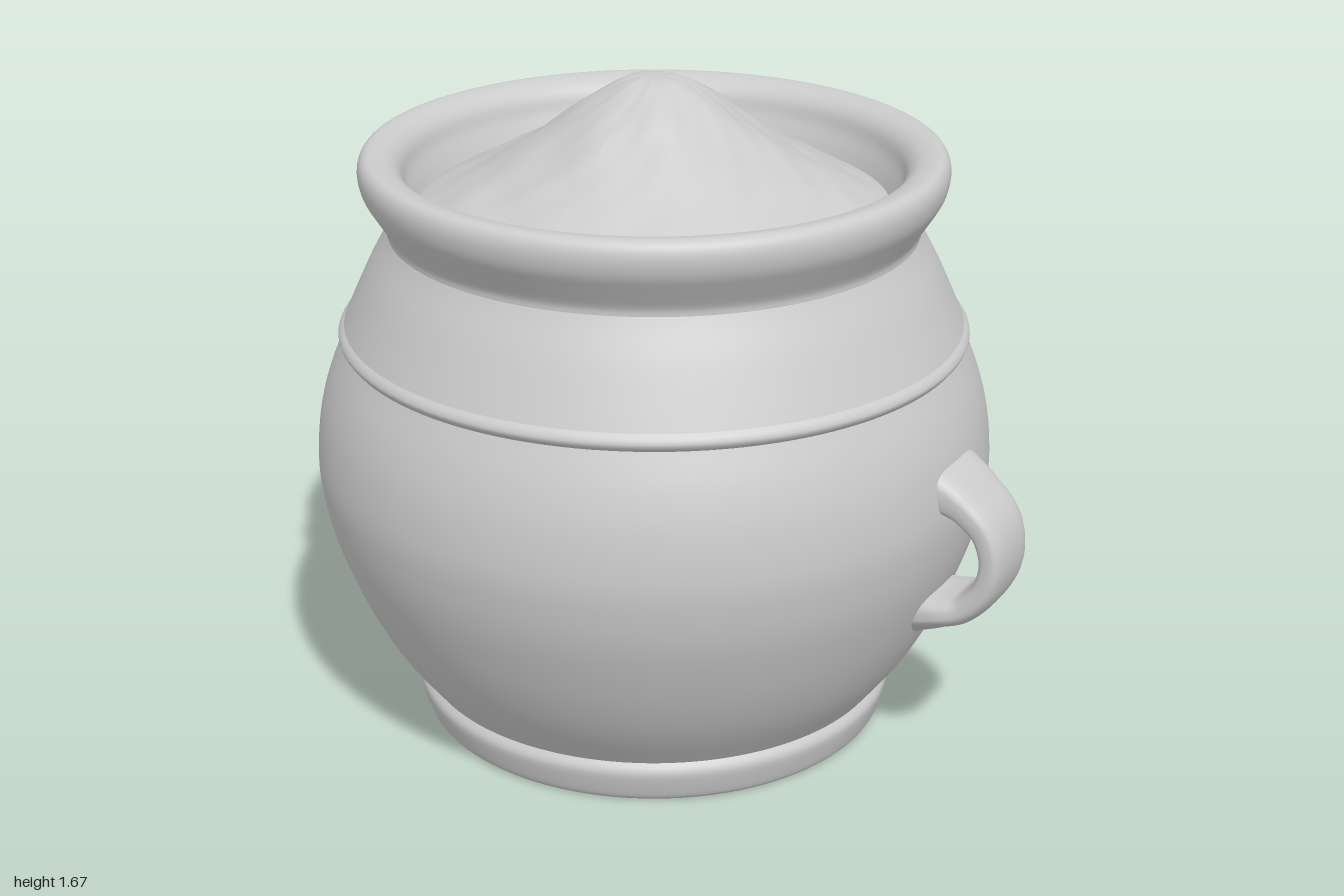
import * as THREE from 'three';

const material = new THREE.MeshStandardMaterial({ color: 0xcccccc, side: THREE.DoubleSide });

// Smooth profile curve through [radius, height] points
const spline = (pts, n) =>
  new THREE.SplineCurve(pts.map(([r, y]) => new THREE.Vector2(r, y))).getPoints(n);

function part(name, geometry) {
  const mesh = new THREE.Mesh(geometry, material);
  mesh.name = name;
  return mesh;
}

// Flat strap handle on +x: a cross-section swept along a curve in the xy plane
function handleGeometry() {
  // x, y, half thickness, half width, pointedness of the outer side
  const keys = [
    [0.76, 0.80, 0.07, 0.125, 0], [0.83, 0.775, 0.055, 0.113, 0], [0.89, 0.742, 0.041, 0.103, 0],
    [0.943, 0.69, 0.036, 0.098, 0], [0.964, 0.615, 0.033, 0.096, 0], [0.948, 0.54, 0.034, 0.097, 0],
    [0.9, 0.478, 0.036, 0.1, 0.3], [0.84, 0.45, 0.045, 0.106, 0.8], [0.74, 0.425, 0.07, 0.1, 1],
  ];
  const path = new THREE.SplineCurve(keys.map(k => new THREE.Vector2(k[0], k[1])));
  const rows = 48, cols = 32, pos = [], index = [];
  for (let i = 0; i <= rows; i++) {
    const u = i / rows, s = u * (keys.length - 1);
    const k = Math.min(Math.floor(s), keys.length - 2);
    const at = c => THREE.MathUtils.lerp(keys[k][c], keys[k + 1][c], s - k);
    const p = path.getPoint(u), t = path.getTangent(u);
    for (let j = 0; j < cols; j++) {
      const a = (j / cols) * Math.PI * 2, c = Math.cos(a), sn = Math.sin(a);
      const power = sn > 0 ? 0.6 + 0.7 * at(4) : 0.6;
      const z = Math.sign(c) * Math.abs(c) ** power * at(3);
      const d = Math.sign(sn) * Math.abs(sn) ** power * at(2);
      pos.push(p.x - t.y * d, p.y + t.x * d, z);
      if (i < rows) {
        const a0 = i * cols + j, a1 = i * cols + (j + 1) % cols;
        index.push(a0, a1, a0 + cols, a1, a1 + cols, a0 + cols);
      }
    }
  }
  const g = new THREE.BufferGeometry();
  g.setAttribute('position', new THREE.Float32BufferAttribute(pos, 3));
  g.setIndex(index);
  g.computeVertexNormals();
  return g;
}

// Heap of powder with shallow furrows and lumps
function moundGeometry() {
  const profile = spline([[0.6, 1.335], [0.56, 1.36], [0.45, 1.417], [0.335, 1.482], [0.23, 1.555],
    [0.15, 1.612], [0.07, 1.657], [0, 1.666]], 48);
  profile[profile.length - 1].x = 0;
  const g = new THREE.LatheGeometry(profile, 96);
  const p = g.attributes.position;
  for (let i = 0; i < p.count; i++) {
    const x = p.getX(i), z = p.getZ(i), r = Math.hypot(x, z), a = Math.atan2(z, x);
    const fade = Math.min(1, r / 0.2) * Math.min(1, (0.6 - r) / 0.1);
    const bump = 0.003 * Math.sin(7 * a + 9 * r) + 0.003 * Math.sin(31 * x + 2) * Math.sin(27 * z + 1)
      + 0.0015 * Math.sin(19 * a - 40 * r);
    p.setY(i, p.getY(i) + bump * fade);
  }
  g.computeVertexNormals();
  return g;
}

export function createModel() {
  const group = new THREE.Group();
  group.name = 'pot';

  // Foot ring
  const foot = spline([[0.585, 0], [0.596, 0.012], [0.607, 0.045], [0.614, 0.075],
    [0.612, 0.092], [0.602, 0.107], [0.595, 0.115]], 24);
  group.add(part('foot', new THREE.LatheGeometry(foot, 128)));

  // Flat underside
  const base = new THREE.CircleGeometry(0.585, 128);
  base.rotateX(Math.PI / 2);
  group.add(part('base', base));

  // Round belly up to the shoulder
  const belly = spline([[0.598, 0.105], [0.67, 0.2], [0.722, 0.285], [0.772, 0.39], [0.82, 0.52],
    [0.844, 0.63], [0.85, 0.72], [0.838, 0.83], [0.812, 0.925], [0.776, 1.012]], 60);
  group.add(part('belly', new THREE.LatheGeometry(belly, 128)));

  // Thin raised band
  const band = spline([[0.776, 1.012], [0.784, 1.022], [0.787, 1.032], [0.782, 1.044], [0.772, 1.054]], 16);
  group.add(part('band', new THREE.LatheGeometry(band, 128)));

  // Shoulder narrowing to the neck
  const shoulder = spline([[0.772, 1.054], [0.745, 1.115], [0.708, 1.195], [0.672, 1.262], [0.658, 1.29]], 20);
  group.add(part('shoulder', new THREE.LatheGeometry(shoulder, 128)));

  // Flared rim rolling over to the inside
  const rim = spline([[0.658, 1.29], [0.662, 1.312], [0.69, 1.358], [0.715, 1.4], [0.724, 1.438],
    [0.72, 1.467], [0.705, 1.484], [0.68, 1.486], [0.645, 1.475], [0.621, 1.45],
    [0.608, 1.41], [0.59, 1.37], [0.57, 1.32]], 64);
  group.add(part('rim', new THREE.LatheGeometry(rim, 128)));

  group.add(part('powderMound', moundGeometry()));

  // Handles on both sides
  const handle = handleGeometry();
  const left = part('leftHandle', handle);
  const right = part('rightHandle', handle);
  right.rotation.y = Math.PI;
  group.add(left, right);
  return group;
}
